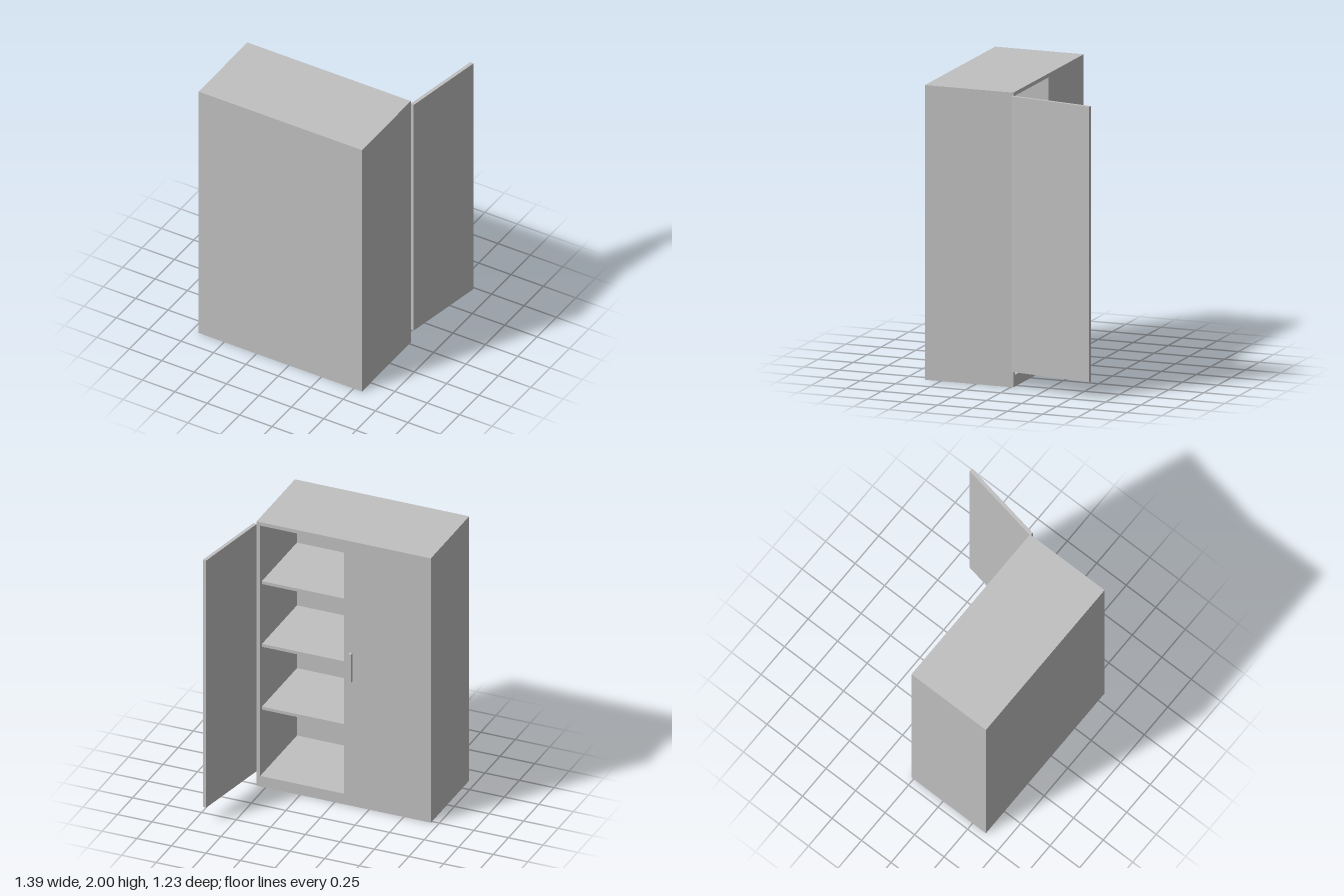
import * as THREE from 'three';

export function createModel() {
  const model = new THREE.Group();
  const metal = new THREE.MeshStandardMaterial({ color: 0xc0c0c0 });
  metal.name = 'greyMetal';

  // cabinet extents and sheet thickness
  const X0 = -0.697, X1 = 0.564, H = 2, Z0 = -0.018, Z1 = 0.613, T = 0.026;
  const FLOOR = 0.08, CEILING = H - T, MIDDLE = -0.067;

  function add(name, geometry, parent = model) {
    const mesh = new THREE.Mesh(geometry, metal);
    mesh.name = name;
    parent.add(mesh);
    return mesh;
  }

  // box given by its minimum and maximum corners
  function box(name, a, b, parent) {
    const mesh = add(name, new THREE.BoxGeometry(b[0] - a[0], b[1] - a[1], b[2] - a[2]), parent);
    mesh.position.set((a[0] + b[0]) / 2, (a[1] + b[1]) / 2, (a[2] + b[2]) / 2);
    return mesh;
  }

  // cabinet-sized slab with a rectangular opening, extruded from z0 to z1
  function frame(name, left, right, z0, z1) {
    const shape = new THREE.Shape([[X0, 0], [X1, 0], [X1, H], [X0, H]].map(p => new THREE.Vector2(...p)));
    shape.holes.push(new THREE.Path(
      [[left, FLOOR], [left, CEILING], [right, CEILING], [right, FLOOR]].map(p => new THREE.Vector2(...p))));
    const geometry = new THREE.ExtrudeGeometry(shape, { depth: z1 - z0, bevelEnabled: false });
    add(name, geometry.translate(0, 0, z0));
  }

  // door side with the closed door, hollow carcass, and rear panel
  frame('closedDoorPanel', MIDDLE, X1 - T, Z0, Z0 + T);
  frame('carcass', X0 + T, X1 - T, Z0 + T, Z1 - T);
  box('rearPanel', [X0, 0, Z1 - T], [X1, H, Z1]);

  // three full-width shelves
  for (let i = 0; i < 3; i++) {
    const top = 0.59 + i * 0.475;
    box('shelf', [X0 + T, top - 0.022, Z0 + T + 0.002], [X1 - T, top, Z1 - T]);
  }

  // handle on the closed door
  box('handle', [-0.13, 0.947, Z0 - 0.024], [-0.11, 1.158, Z0]);

  // open door swung about its hinge corner
  const openDoor = new THREE.Group();
  openDoor.name = 'openDoor';
  openDoor.position.set(X1, 0, Z0);
  openDoor.rotation.y = -THREE.MathUtils.degToRad(10);
  box('doorLeaf', [0, 0.11, -0.605], [0.025, 1.98, 0], openDoor);
  model.add(openDoor);

  return model;
}
